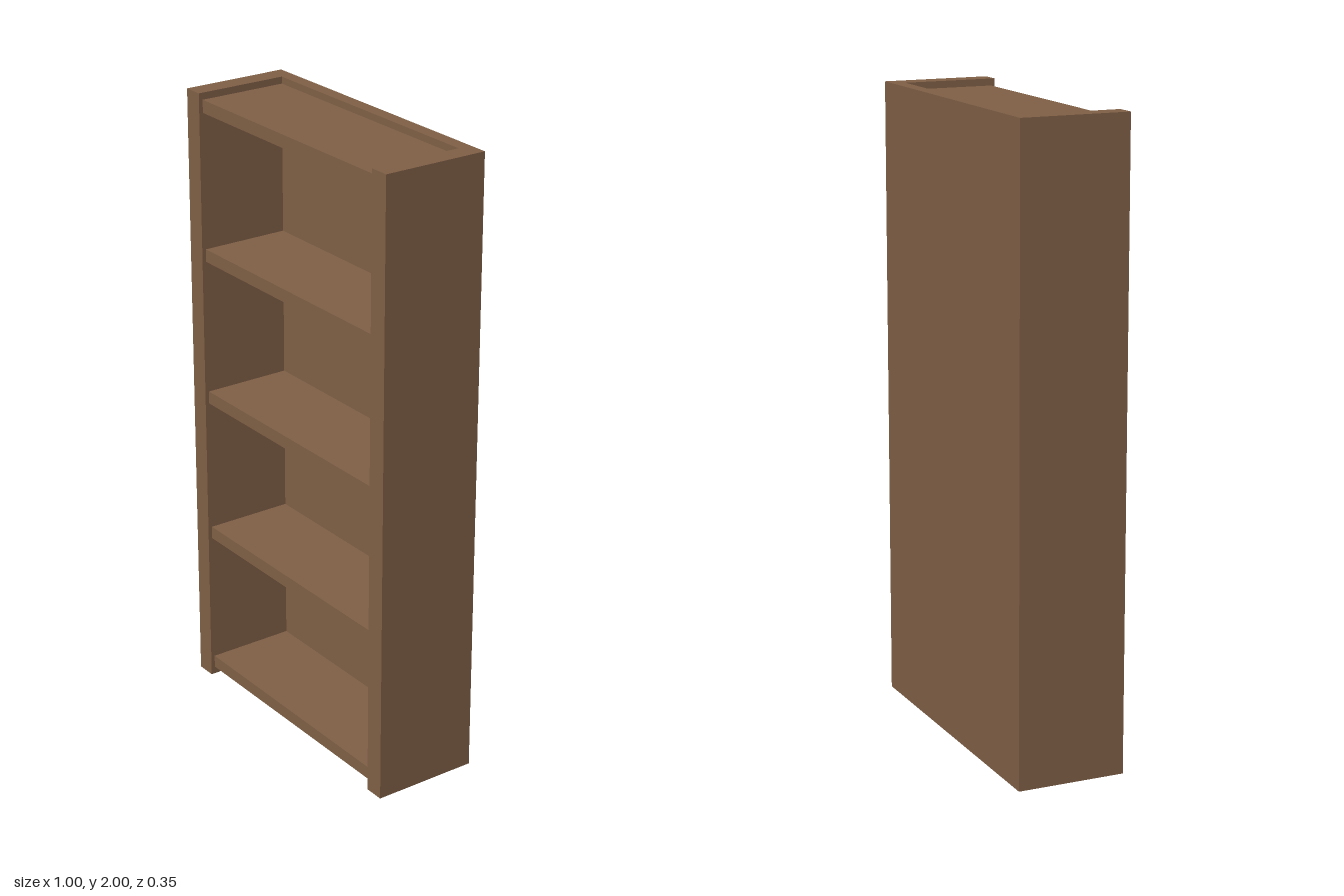
import * as THREE from 'three';

export function createModel() {
  const model = new THREE.Group();
  model.name = 'bookcase';
  const wood = new THREE.MeshStandardMaterial({ color: 0x806046 });
  wood.name = 'brown wood';

  // Box given by its lower and upper corners
  const board = (name, [x0, y0, z0], [x1, y1, z1]) => {
    const mesh = new THREE.Mesh(new THREE.BoxGeometry(x1 - x0, y1 - y0, z1 - z0), wood);
    mesh.name = name;
    mesh.position.set((x0 + x1) / 2, (y0 + y1) / 2, (z0 + z1) / 2);
    model.add(mesh);
  };

  const halfWidth = 0.5, inner = 0.435, halfDepth = 0.173, backFront = -0.13;

  // Side panels and the back panel between them
  board('leftSide', [inner, 0, -halfDepth], [halfWidth, 2, halfDepth]);
  board('rightSide', [-halfWidth, 0, -halfDepth], [-inner, 2, halfDepth]);
  board('backPanel', [-inner, 0, -halfDepth], [inner, 2, backFront]);

  // Five evenly spaced shelves, slightly recessed at the front
  for (let i = 0; i < 5; i++) {
    const y = 0.025 + i * 0.478;
    board(`shelf${i + 1}`, [-inner, y, backFront], [inner, y + 0.041, 0.16]);
  }
  return model;
}
